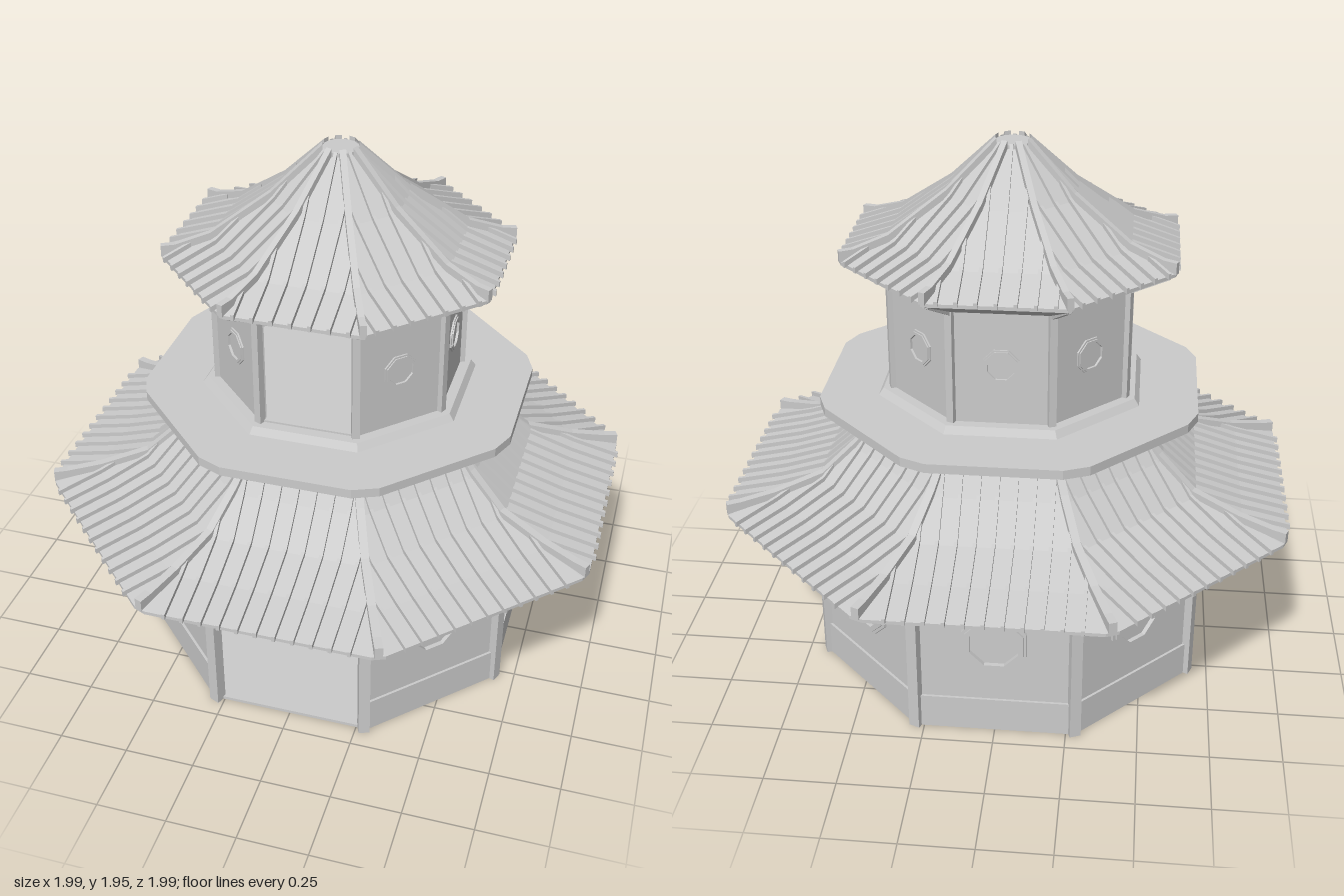
import * as THREE from 'three';

const T = Math.tan(Math.PI / 8), C = Math.cos(Math.PI / 8);
const mat = new THREE.MeshStandardMaterial({ color: 0xcccccc, flatShading: true, side: THREE.DoubleSide });

function add(parent, name, geo, x = 0, y = 0, z = 0) {
  const m = new THREE.Mesh(geo, mat);
  m.name = name;
  m.position.set(x, y, z);
  parent.add(m);
  return m;
}

// Octagon outline of apothem a, with corners cut back by c
function octRing(a, c) {
  const pts = [];
  for (let i = 0; i < 8; i++) {
    const f = i * Math.PI / 4, s = Math.max(a * T - c, 0);
    for (const t of [-s, s])
      pts.push([a * Math.sin(f) + t * Math.cos(f), a * Math.cos(f) - t * Math.sin(f)]);
  }
  return pts;
}

// Skin over stacked octagons, each [apothem, y, corner cut]
function loft(rings) {
  const pos = [], idx = [];
  for (const [a, y, c = 0.001] of rings)
    for (const [x, z] of octRing(a, c)) pos.push(x, y, z);
  for (let r = 0; r < rings.length - 1; r++)
    for (let i = 0; i < 16; i++) {
      const a = r * 16 + i, b = r * 16 + (i + 1) % 16;
      idx.push(a, b, b + 16, a, b + 16, a + 16);
    }
  const g = new THREE.BufferGeometry();
  g.setAttribute('position', new THREE.Float32BufferAttribute(pos, 3));
  g.setIndex(idx);
  g.computeVertexNormals();
  return g;
}

// Closed slab between two heights
const slab = (a0, y0, a1, y1, c) => loft([[0, y0], [a0, y0, c], [a1, y1, c], [0, y1]]);

// Upright strip that follows a [distance, y] path, running out along +z
function strip(path, up, down, width) {
  const s = new THREE.Shape([
    ...path.map(([a, y]) => new THREE.Vector2(a, y + up)),
    ...[...path].reverse().map(([a, y]) => new THREE.Vector2(a, y - down))]);
  const g = new THREE.ExtrudeGeometry(s, { depth: width, bevelEnabled: false });
  return g.translate(0, 0, -width / 2).rotateY(-Math.PI / 2);
}

// Keep the part of an eave-to-top path that lies outside a minimum distance
function clip(path, min) {
  const out = [path[0]];
  for (let i = 1; i < path.length; i++) {
    const [a0, y0] = path[i - 1], [a1, y1] = path[i];
    if (a1 >= min) { out.push(path[i]); continue; }
    const t = (a0 - min) / (a0 - a1);
    out.push([min, y0 + (y1 - y0) * t]);
    break;
  }
  return out;
}

function octShape(a, Kind = THREE.Shape) {
  return new Kind(octRing(a, 0).filter((_, i) => i % 2).map(([x, y]) => new THREE.Vector2(x, y)));
}

// Eight-sided window with stepped frame, facing +z
function makeWindow(r) {
  const g = new THREE.Group();
  g.name = 'window';
  for (const [outer, inner, depth] of [[1, 0.86, 0.1], [0.9, 0.74, 0.17]]) {
    const s = octShape(r * outer);
    s.holes.push(octShape(r * inner, THREE.Path));
    add(g, 'windowFrame', new THREE.ExtrudeGeometry(s, { depth: r * depth, bevelEnabled: false }));
  }
  add(g, 'windowPane', new THREE.ExtrudeGeometry(octShape(r * 0.75), { depth: r * 0.03, bevelEnabled: false }));
  return g;
}

// Seven walls around an open front, with corner posts
function makeStorey(o) {
  const g = new THREE.Group();
  g.name = o.name;
  const h = o.top - o.bottom, mid = (o.top + o.bottom) / 2, th = 0.025;
  add(g, 'floor', slab(o.a, o.bottom, o.a, o.bottom + 0.012));
  for (let i = 0; i < 8; i++) {
    const side = new THREE.Group();
    side.name = 'side';
    side.rotation.y = i * Math.PI / 4;
    g.add(side);
    if (i > 0) {
      add(side, 'wall', new THREE.BoxGeometry(2 * o.a * T, h, th), 0, mid, o.a - th / 2);
      if (o.skirt) add(side, 'skirting', new THREE.BoxGeometry(2 * o.a * T, o.skirt, 0.012), 0, o.bottom + o.skirt / 2, o.a + 0.003);
      const w = makeWindow(o.windowR);
      w.position.set(0, o.windowY, o.a);
      side.add(w);
    }
    const post = add(g, 'cornerPost', new THREE.BoxGeometry(o.post, h, o.post));
    const f = (i + 0.5) * Math.PI / 4, R = o.a / C;
    post.position.set(R * Math.sin(f), mid, R * Math.cos(f));
    post.rotation.y = f;
  }
  return g;
}

// Curved roof with tile ribs on each face and raised ridges on each hip
function makeRoof(o) {
  const g = new THREE.Group();
  g.name = o.name;
  const p = o.path, [ea, ey] = p[0], top = p[p.length - 1];
  add(g, 'roofShell', loft([[0, o.under[1]], o.under, [ea, ey - 0.012, o.cut],
    ...p.map(([a, y], i) => [a, y, i ? 0.001 : o.cut]), [0, top[1]]]));
  const hip = [[ea + 0.005, ey + 0.012], [ea - 0.04, ey + 0.015], ...p.slice(1)].map(([a, y]) => [a / C - o.cut * 0.5, y]);
  const rafter = [[ea / C - 0.02, ey - 0.012], [o.under[0] / C, o.under[1]]];
  const ribPath = [[ea + 0.012, ey - 0.002], ...p.slice(1)];
  for (let i = 0; i < 8; i++) {
    const side = new THREE.Group();
    side.name = 'roofSide';
    side.rotation.y = i * Math.PI / 4;
    g.add(side);
    for (let k = -o.ribs; k <= o.ribs; k++) {
      const x = k * 0.0625;
      add(side, 'tileRib', strip(clip(ribPath, Math.max(top[0], Math.abs(x) / T + 0.02)), 0.016, 0.004, 0.012), x);
    }
    const f = (i + 0.5) * Math.PI / 4;
    add(g, 'hipRidge', strip(hip, 0.026, 0.015, o.ridge)).rotation.y = f;
    if (o.rafters) add(g, 'hipRafter', strip(rafter, 0.005, 0.012, 0.018)).rotation.y = f;
  }
  return g;
}

export function createModel() {
  const model = new THREE.Group();
  model.name = 'pavilion';

  model.add(makeStorey({ name: 'lowerStorey', a: 0.67, bottom: 0, top: 0.645, post: 0.04, skirt: 0.13, windowY: 0.37, windowR: 0.112 }));
  model.add(makeRoof({
    name: 'lowerRoof', under: [0.69, 0.64], cut: 0.025, ribs: 5, ridge: 0.028,
    path: [[0.985, 0.67], [0.83, 0.705], [0.67, 0.755], [0.55, 0.865], [0.44, 1.0]]
  }));

  // Balcony between the storeys
  add(model, 'balconySupport', slab(0.45, 0.995, 0.45, 1.025));
  add(model, 'balcony', slab(0.66, 1.022, 0.66, 1.055, 0.05));
  add(model, 'balconyTrim', slab(0.46, 1.05, 0.44, 1.08));

  model.add(makeStorey({ name: 'upperStorey', a: 0.405, bottom: 1.075, top: 1.49, post: 0.026, windowY: 1.29, windowR: 0.06 }));
  model.add(makeRoof({
    name: 'upperRoof', under: [0.41, 1.48], cut: 0.008, ribs: 3, ridge: 0.022, rafters: true,
    path: [[0.56, 1.57], [0.41, 1.622], [0.22, 1.76], [0.06, 1.92]]
  }));
  add(model, 'roofCap', new THREE.CylinderGeometry(0.063, 0.063, 0.02, 16), 0, 1.922, 0);

  return model;
}
